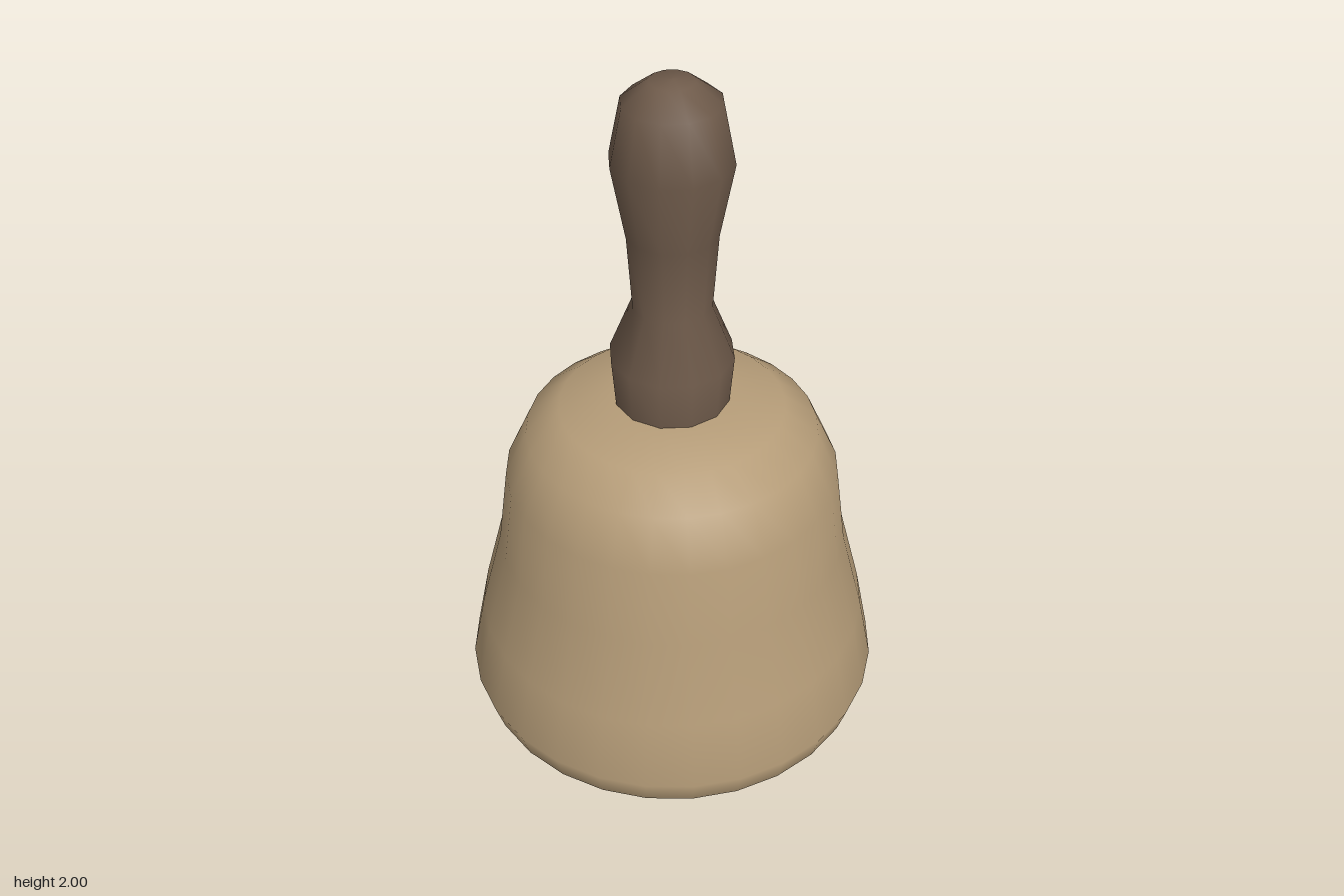
import * as THREE from 'three';

const bellMetal = new THREE.MeshStandardMaterial({ color: 0xb59c78, side: THREE.DoubleSide });
bellMetal.name = 'bellMetal';
const darkWood = new THREE.MeshStandardMaterial({ color: 0x6e5a4a });
darkWood.name = 'darkWood';

// Turned part from [radius, height] pairs, listed bottom to top
function turned(name, profile, sides, material) {
  const points = profile.map(([r, y]) => new THREE.Vector2(r, y));
  const mesh = new THREE.Mesh(new THREE.LatheGeometry(points, sides), material);
  mesh.name = name;
  return mesh;
}

export function createModel() {
  const model = new THREE.Group();
  model.name = 'handBell';

  // Open thin-walled bell with a tucked-in lip
  model.add(turned('bell', [
    [0.55, 0], [0.583, 0.035], [0.608, 0.115], [0.567, 0.32], [0.503, 0.57],
    [0.473, 0.8], [0.41, 0.94], [0.315, 1.015], [0.16, 1.047], [0, 1.05],
  ], 28, bellMetal));

  // Shaped wooden grip
  model.add(turned('handle', [
    [0.16, 1.03], [0.173, 1.19], [0.11, 1.35], [0.125, 1.57],
    [0.164, 1.78], [0.132, 1.94], [0.06, 1.995], [0, 2],
  ], 12, darkWood));

  // Clapper hanging inside: slim stem with a rounded weight
  model.add(turned('clapper', [
    [0, 0.2], [0.085, 0.205], [0.118, 0.28], [0.1, 0.37], [0.045, 0.45], [0.035, 1.04],
  ], 10, darkWood));

  return model;
}
